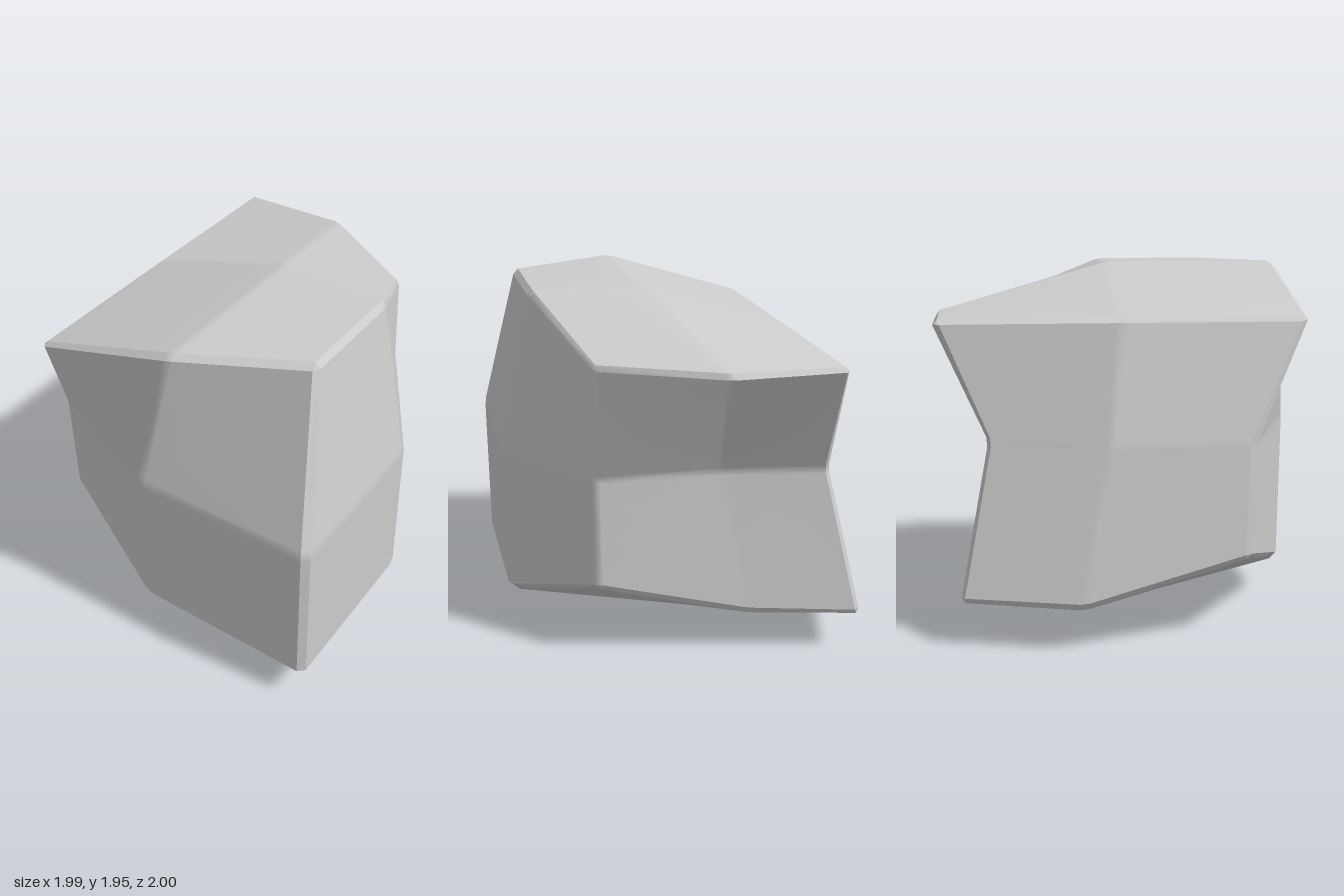
import * as THREE from 'three';

// Control cage: a 3 x 3 x 3 lattice; layers run bottom to top, rows back to front, points -x to +x
const CAGE = [
  [[[-.83, .24, -.89], [-.24, .25, -.73], [.58, .44, -.61]],
   [[-1.01, .24, -.26], [-.2, -.01, -.13], [.995, .2, 0]],
   [[-.84, .44, .64], [-.04, .2, .99], [.995, .19, 1]]],
  [[[-.67, 1.06, -.73], [-.1, 1.06, -.62], [.58, 1.06, -.61]],
   [[-.84, 1.05, -.1], [0, 1, 0], [.995, 1.06, 0]],
   [[-.85, 1.05, .65], [-.04, 1.06, 1], [.995, 1.06, 1]]],
  [[[-.66, 1.69, -1.01], [-.04, 1.69, -1.01], [.58, 1.675, -.62]],
   [[-.66, 1.69, -.02], [.19, 1.955, -.02], [.81, 1.955, 0]],
   [[-.66, 1.69, .98], [.19, 1.955, .99], [.81, 1.955, .65]]],
];

const BEVEL = 0.035;
const STEPS = [-1 + BEVEL, -BEVEL, BEVEL, 1 - BEVEL];
const CREASE = Math.cos(Math.PI / 6);

// Map a point of the cube [-1, 1]^3 into the cage by trilinear interpolation
function warp(p) {
  const out = new THREE.Vector3();
  const weight = (t, n) => Math.max(0, 1 - Math.abs(t - (n - 1)));
  for (let j = 0; j < 3; j++)
    for (let k = 0; k < 3; k++)
      for (let i = 0; i < 3; i++) {
        const w = weight(p.x, i) * weight(p.y, j) * weight(p.z, k);
        out.addScaledVector(new THREE.Vector3(...CAGE[j][k][i]), w);
      }
  return out;
}

// Fan each face about its centre, with area-weighted normals that are
// smooth across shallow folds and split at sharp ones
function creasedGeometry(faces) {
  const key = (p) => p.toArray().map((t) => Math.round(t * 1e4)).join();
  const cross = (a, b, c, d) => b.clone().sub(a).cross(d.clone().sub(c));
  const faceNormals = faces.map((f) => cross(f[0], f[2], f[1], f[3] ?? f[0]));
  const around = new Map();
  faces.forEach((corners, f) => corners.forEach((p) => {
    if (!around.has(key(p))) around.set(key(p), []);
    around.get(key(p)).push(faceNormals[f]);
  }));
  const positions = [], normals = [];
  faces.forEach((corners, f) => {
    const own = faceNormals[f];
    const centre = new THREE.Vector3();
    for (const p of corners) centre.addScaledVector(p, 1 / corners.length);
    const cornerNormals = corners.map((p) => {
      const sum = new THREE.Vector3();
      for (const n of around.get(key(p)))
        if (n.dot(own) >= CREASE * n.length() * own.length()) sum.add(n);
      return sum.normalize();
    });
    corners.forEach((p, n) => {
      const m = (n + 1) % corners.length;
      positions.push(...p.toArray(), ...corners[m].toArray(), ...centre.toArray());
      normals.push(...cornerNormals[n].toArray(), ...cornerNormals[m].toArray(),
        ...own.clone().normalize().toArray());
    });
  });
  const geometry = new THREE.BufferGeometry();
  geometry.setAttribute('position', new THREE.Float32BufferAttribute(positions, 3));
  geometry.setAttribute('normal', new THREE.Float32BufferAttribute(normals, 3));
  return geometry;
}

function rockGeometry() {
  const faces = [];

  // Add a triangle or quad given in cube space, wound to face outward
  function face(...corners) {
    const [a, b, c] = corners;
    const normal = b.clone().sub(a).cross(c.clone().sub(a));
    if (normal.dot(a) < 0) corners.reverse();
    faces.push(corners.map(warp));
  }

  // Cube-space point with its coordinates assigned to axes a, a+1, a+2
  const point = (a, u, v, w) => {
    const p = new THREE.Vector3();
    [u, v, w].forEach((t, n) => p.setComponent((a + n) % 3, t));
    return p;
  };

  const r = 1 - BEVEL;
  for (let a = 0; a < 3; a++)
    for (const s of [-1, 1]) {
      // Broad sides, with narrow strips softening the middle creases
      for (let i = 0; i < 3; i++)
        for (let j = 0; j < 3; j++)
          face(point(a, s, STEPS[i], STEPS[j]), point(a, s, STEPS[i + 1], STEPS[j]),
            point(a, s, STEPS[i + 1], STEPS[j + 1]), point(a, s, STEPS[i], STEPS[j + 1]));
      // Bevels along the outer edges
      for (const t of [-1, 1])
        for (let i = 0; i < 3; i++)
          face(point(a, s, t * r, STEPS[i]), point(a, s * r, t, STEPS[i]),
            point(a, s * r, t, STEPS[i + 1]), point(a, s, t * r, STEPS[i + 1]));
    }

  // Small facets closing the eight corners
  for (const x of [-1, 1])
    for (const y of [-1, 1])
      for (const z of [-1, 1])
        face(point(0, x, y * r, z * r), point(0, x * r, y, z * r), point(0, x * r, y * r, z));

  return creasedGeometry(faces);
}

export function createModel() {
  const group = new THREE.Group();
  group.name = 'boulder';
  const rock = new THREE.Mesh(rockGeometry(), new THREE.MeshStandardMaterial({ color: 0xcccccc }));
  rock.name = 'rock';
  group.add(rock);
  return group;
}
